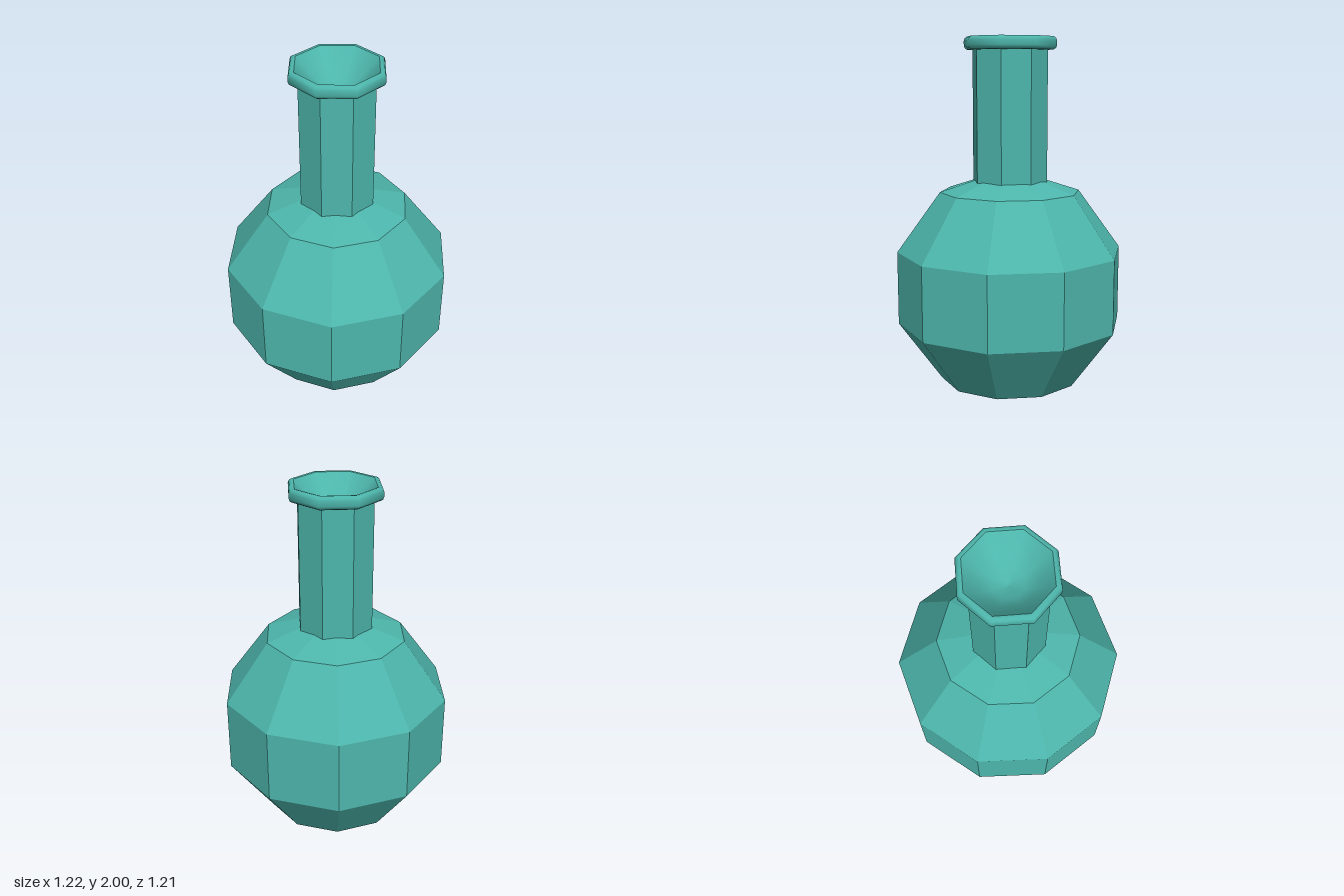
import * as THREE from 'three';

// Hard-edged facets baked into the normals, so one material serves all parts
function faceted(geometry) {
  const g = geometry.toNonIndexed();
  g.computeVertexNormals();
  return g;
}

export function createModel() {
  const group = new THREE.Group();
  const teal = new THREE.MeshStandardMaterial({ color: 0x4db6ac });

  const add = (name, geometry, y = 0) => {
    const mesh = new THREE.Mesh(geometry, teal);
    mesh.name = name;
    mesh.position.y = y;
    group.add(mesh);
    return mesh;
  };

  // Ten-sided round body, turned slightly about its axis
  const body = add('body', faceted(new THREE.SphereGeometry(0.648, 10, 5)), 0.651);
  body.rotation.y = -0.117;

  // Eight-sided straight neck
  const neckBottom = 1.2, neckTop = 1.95;
  add('neck',
    faceted(new THREE.CylinderGeometry(0.205, 0.205, neckTop - neckBottom, 8, 1, true)),
    (neckBottom + neckTop) / 2);

  // Smooth rolled lip
  const lip = [
    [0.19, 1.93], [0.235, 1.931], [0.247, 1.938], [0.253, 1.952],
    [0.253, 1.978], [0.247, 1.992], [0.235, 2], [0.222, 1.998],
  ];
  // Smooth hollow of the mouth
  const hollow = [[0.222, 1.998], [0.19, 1.965], [0.14, 1.915], [0.08, 1.872], [0, 1.855]];
  const lathe = (points) =>
    new THREE.LatheGeometry(points.map(([r, y]) => new THREE.Vector2(r, y)), 8);
  add('lip', lathe(lip));
  add('mouth', lathe(hollow));

  return group;
}
